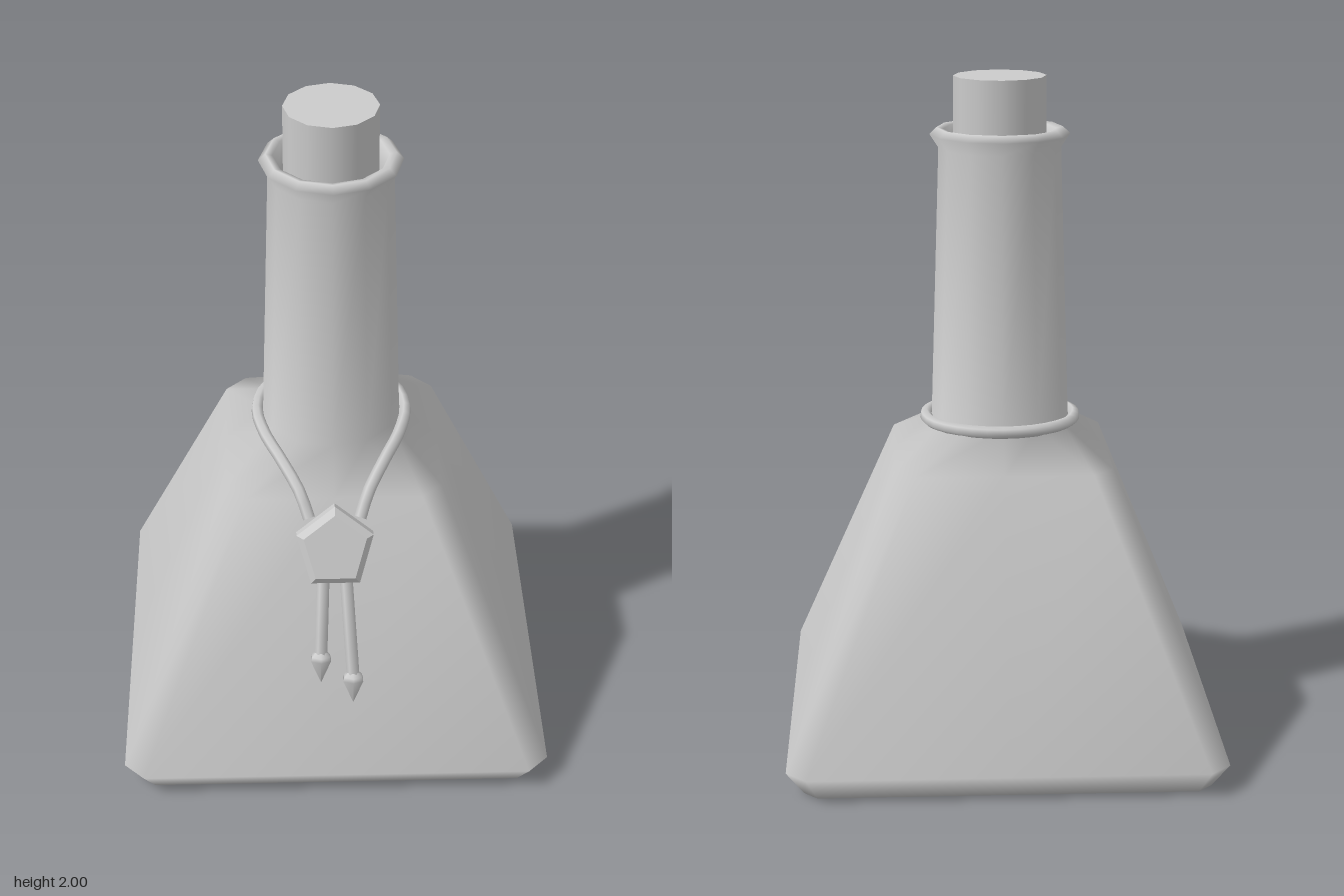
import * as THREE from 'three';

const material = new THREE.MeshStandardMaterial({ color: 0xcccccc, side: THREE.DoubleSide });
const V = (x, y, z) => new THREE.Vector3(x, y, z);

function add(parent, name, geometry) {
  const mesh = new THREE.Mesh(geometry, material);
  mesh.name = name;
  parent.add(mesh);
  return mesh;
}

// 12-point rings: a square with cut corners, or a circle
function squareRing(y, h, cut) {
  const quarter = [[h, 0], [h, h - cut], [h - cut, h]];
  const ring = [];
  for (let q = 0; q < 4; q++) {
    const c = Math.round(Math.cos(q * Math.PI / 2)), s = Math.round(Math.sin(q * Math.PI / 2));
    for (const [x, z] of quarter) ring.push(V(x * c - z * s, y, x * s + z * c));
  }
  return ring;
}

function roundRing(y, r) {
  return Array.from({ length: 12 }, (_, i) =>
    V(r * Math.cos(i * Math.PI / 6), y, r * Math.sin(i * Math.PI / 6)));
}

function loft(rings) {
  const n = rings[0].length, index = [];
  for (let r = 0; r < rings.length - 1; r++) {
    for (let i = 0; i < n; i++) {
      const a = r * n + i, b = r * n + (i + 1) % n;
      index.push(a, a + n, b, b, a + n, b + n);
    }
  }
  const geometry = new THREE.BufferGeometry().setFromPoints(rings.flat());
  geometry.setIndex(index);
  geometry.computeVertexNormals();
  return geometry;
}

function tube(points, radius, segments) {
  return new THREE.TubeGeometry(new THREE.CatmullRomCurve3(points), segments, radius, 6);
}

export function createModel() {
  const model = new THREE.Group();
  model.name = 'bottle';

  // Square flask flowing into a round neck and rolled lip
  add(model, 'flask', loft([
    squareRing(0.03, 0, 0),
    squareRing(0.005, 0.59, 0.04),
    squareRing(0.08, 0.64, 0.06),
    squareRing(0.88, 0.32, 0.06),
    roundRing(0.985, 0.205),
    roundRing(1.79, 0.18),
    roundRing(1.83, 0.206),
    roundRing(1.85, 0.185),
    roundRing(1.845, 0.165),
    roundRing(1.8, 0.145),
    roundRing(1.65, 0.14),
  ]));

  // Cork
  const cork = add(model, 'cork', new THREE.CylinderGeometry(0.136, 0.136, 0.35, 12));
  cork.position.y = 1.825;

  // Cord looped around the neck and down to the bead
  const half = [[0.075, 0.85, 0.375], [0.1, 0.91, 0.33], [0.15, 0.955, 0.235],
    [0.2, 0.975, 0.12], [0.223, 0.982, 0], [0.195, 0.984, -0.115], [0.113, 0.985, -0.195]];
  const left = half.map(p => V(...p));
  const right = half.map(([x, y, z]) => V(-x, y, z)).reverse();
  add(model, 'neckCord', tube([...left, V(0, 0.985, -0.224), ...right], 0.018, 36));

  // Five-sided bevelled bead lying against the sloping front
  const outline = [[0, 0.095], [0.092, 0.025], [0.058, -0.095], [-0.058, -0.095], [-0.092, 0.025]];
  const beadGeometry = new THREE.ExtrudeGeometry(
    new THREE.Shape(outline.map(p => new THREE.Vector2(...p))),
    { depth: 0.04, bevelThickness: 0.018, bevelSize: 0.018, bevelSegments: 1 });
  beadGeometry.translate(0, 0, -0.02);
  const bead = add(model, 'bead', beadGeometry);
  bead.position.set(0, 0.78, 0.408);
  bead.rotation.x = -0.38;

  // Two hanging cord ends with pointed tips
  const ends = [
    [V(-0.035, 0.71, 0.435), V(-0.045, 0.455, 0.527), V(-0.045, 0.375, 0.553)],
    [V(0.03, 0.71, 0.435), V(0.05, 0.395, 0.55), V(0.05, 0.31, 0.578)],
  ];
  const tipProfile = [[0, -0.085], [0.034, -0.012], [0.03, 0], [0.018, 0.012]]
    .map(p => new THREE.Vector2(...p));
  for (const [start, end, point] of ends) {
    const middle = start.clone().lerp(end, 0.5).add(V(0, 0, 0.006));
    add(model, 'hangingCord', tube([start, middle, end], 0.019, 4));
    const tip = add(model, 'cordTip', new THREE.LatheGeometry(tipProfile, 6));
    tip.position.copy(end);
    tip.quaternion.setFromUnitVectors(V(0, 1, 0), end.clone().sub(point).normalize());
  }
  return model;
}
